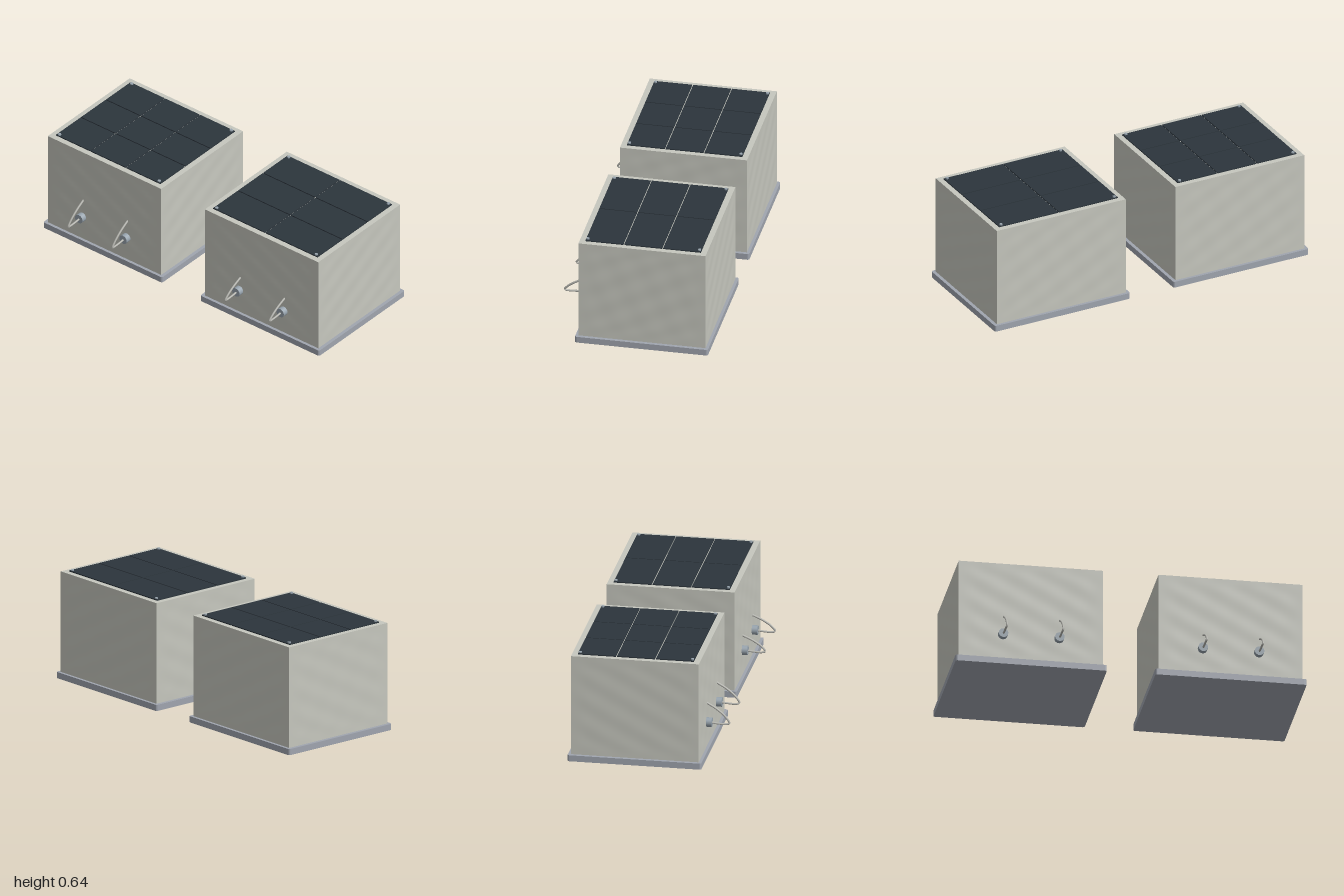
import * as THREE from 'three';

const mat = (name, color) => new THREE.MeshStandardMaterial({ name, color });

export function createModel() {
  const concrete = mat('paleConcrete', 0xc6c7be);
  const plinthGrey = mat('plinthGrey', 0xa0a5af);
  const panelDark = mat('darkPanel', 0x2c353c);
  const steel = mat('steel', 0x98a4ae);
  const cableGrey = mat('cableGrey', 0xb4b4ae);
  const model = new THREE.Group();
  model.name = 'twinCabinets';

  const add = (parent, name, geo, material, x = 0, y = 0, z = 0) => {
    const m = new THREE.Mesh(geo, material);
    m.name = name;
    m.position.set(x, y, z);
    parent.add(m);
    return m;
  };

  // Box whose side walls carry a faint diagonal ripple that fades at the edges
  function rippledBox(w, h, d) {
    const g = new THREE.BoxGeometry(w, h, d, 32, 32, 32);
    const p = g.attributes.position, n = g.attributes.normal;
    const fade = (v, size) => Math.min(1, (0.5 - Math.abs(v) / size) * 8);
    for (let i = 0; i < p.count; i++) {
      if (Math.abs(n.getY(i)) > 0.5) continue;
      const onX = Math.abs(n.getX(i)) > 0.5;
      const u = onX ? p.getZ(i) : p.getX(i), y = p.getY(i);
      const wave = Math.sin(u * 22 + y * 42) + 0.5 * Math.sin(u * 37 - y * 17);
      const k = 0.0009 * wave * fade(u, onX ? d : w) * fade(y, h);
      p.setXYZ(i, p.getX(i) + n.getX(i) * k, y, p.getZ(i) + n.getZ(i) * k);
    }
    g.computeVertexNormals();
    return g;
  }

  // Flat slab with rounded vertical corners, standing on y = 0
  function roundedSlab(w, h, d, r) {
    const s = new THREE.Shape();
    const x = w / 2 - r, y = d / 2 - r;
    s.absarc(x, y, r, 0, Math.PI / 2);
    s.absarc(-x, y, r, Math.PI / 2, Math.PI);
    s.absarc(-x, -y, r, Math.PI, Math.PI * 1.5);
    s.absarc(x, -y, r, Math.PI * 1.5, Math.PI * 2);
    return new THREE.ExtrudeGeometry(s, { depth: h, bevelEnabled: false, curveSegments: 4 })
      .rotateX(-Math.PI / 2);
  }

  const midZ = -0.06, gap = 0.006;

  function cabinet(name, cx, columns, cableTop) {
    const g = new THREE.Group();
    g.name = name;
    g.position.x = cx;
    model.add(g);

    add(g, 'plinth', roundedSlab(0.86, 0.036, 0.762, 0.012), plinthGrey, 0, 0, midZ);
    add(g, 'body', rippledBox(0.82, 0.59, 0.728), concrete, 0, 0.33, midZ);

    // Roof tiles, three rows deep
    const w = 0.76, d = 0.667, cw = w / columns, rd = d / 3;
    for (let c = 0; c < columns; c++) {
      for (let r = 0; r < 3; r++) {
        add(g, 'roofPanel', new THREE.BoxGeometry(cw - gap, 0.006, rd - gap), panelDark,
          -w / 2 + cw * (c + 0.5), 0.628, midZ - d / 2 + rd * (r + 0.5));
      }
    }

    // Corner bolts
    for (const sx of [-1, 1]) for (const sz of [-1, 1]) {
      add(g, 'cornerBolt', new THREE.CylinderGeometry(0.009, 0.009, 0.008, 12), steel,
        sx * 0.36, 0.634, midZ + sz * 0.32);
    }

    // Front connectors, each with a looping cable back to the wall
    for (const sx of [-1, 1]) {
      const x = sx * 0.16;
      const plug = new THREE.CylinderGeometry(0.027, 0.027, 0.034, 20).rotateX(Math.PI / 2);
      add(g, 'connector', plug, steel, x, 0.184, 0.319);
      const rise = cableTop - 0.19;
      const path = new THREE.CatmullRomCurve3([
        [0, 0.183, 0.33], [0, 0.179, 0.37], [0, 0.178, 0.415], [0.003, 0.184, 0.434],
        [0.005, 0.19 + rise * 0.26, 0.412], [0.006, 0.19 + rise * 0.66, 0.362],
        [0.006, cableTop, 0.3],
      ].map(p => new THREE.Vector3(...p)));
      add(g, 'cable', new THREE.TubeGeometry(path, 32, 0.006, 8), cableGrey, x);
    }
  }

  cabinet('rightCabinet', -0.57, 3, 0.3);
  cabinet('leftCabinet', 0.566, 2, 0.272);
  return model;
}
